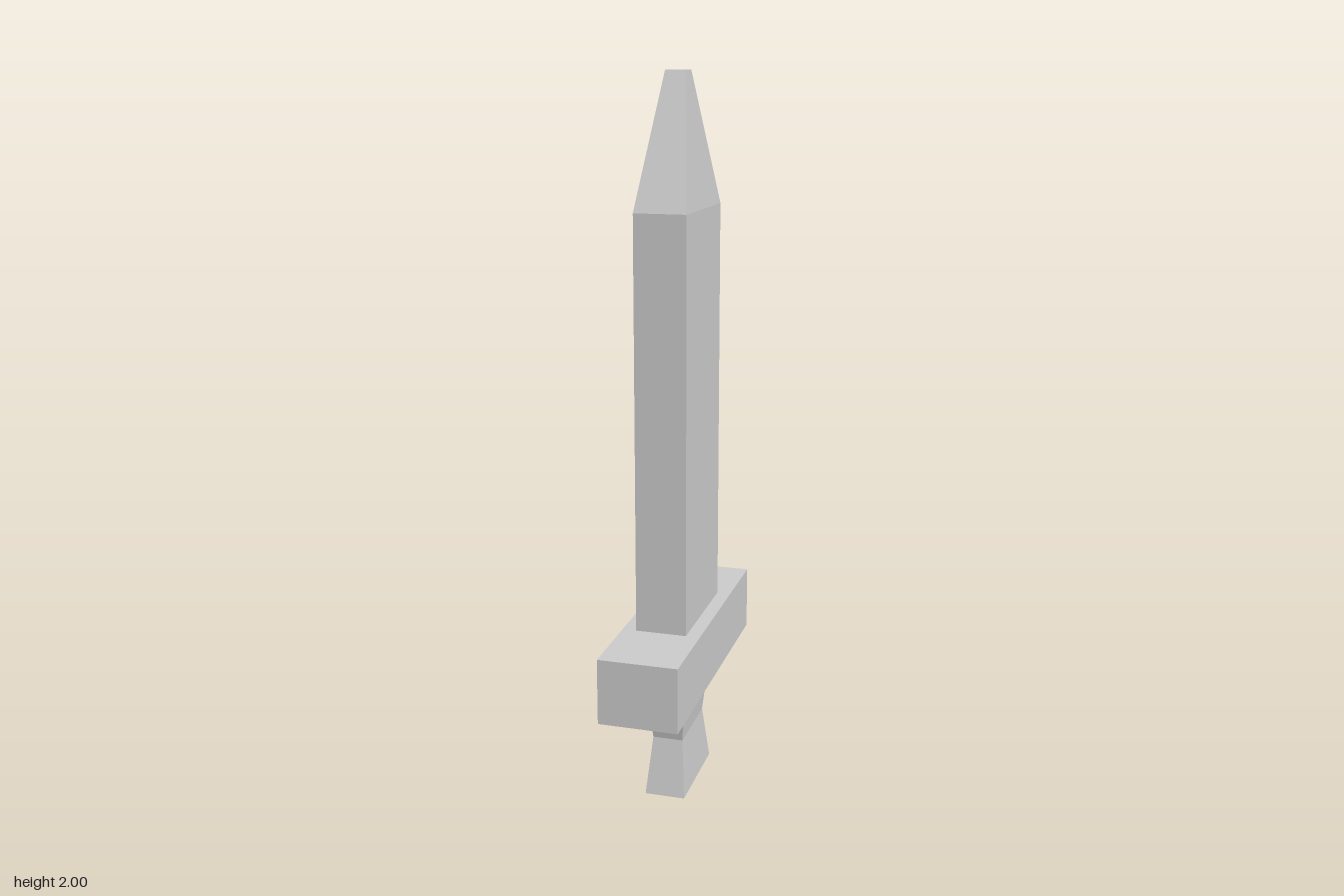
import * as THREE from 'three';

// Rectangular loft: each section is [y, half width in x, half depth in z], bottom to top
function loft(name, sections, material) {
  const rows = sections.length - 1;
  const box = new THREE.BoxGeometry(2, 1, 2, 1, rows, 1);
  const pos = box.attributes.position;
  for (let i = 0; i < pos.count; i++) {
    const [y, hx, hz] = sections[Math.round((pos.getY(i) + 0.5) * rows)];
    pos.setXYZ(i, pos.getX(i) * hx, y, pos.getZ(i) * hz);
  }
  const geometry = box.toNonIndexed();
  geometry.computeVertexNormals();
  const mesh = new THREE.Mesh(geometry, material);
  mesh.name = name;
  return mesh;
}

export function createModel() {
  const model = new THREE.Group();
  model.name = 'sword';
  const grey = new THREE.MeshStandardMaterial({ color: 0xcccccc, flatShading: true });

  model.add(
    // Grip, pinched at the middle
    loft('grip', [[0, 0.057, 0.14], [0.163, 0.043, 0.107], [0.327, 0.057, 0.14]], grey),
    // Crossguard block, long in z
    loft('crossguard', [[0.327, 0.11, 0.389], [0.51, 0.11, 0.389]], grey),
    // Straight blade with a tapered, blunt tip
    loft('blade', [[0.51, 0.071, 0.172], [1.647, 0.071, 0.172], [2, 0.028, 0.025]], grey),
  );
  return model;
}
